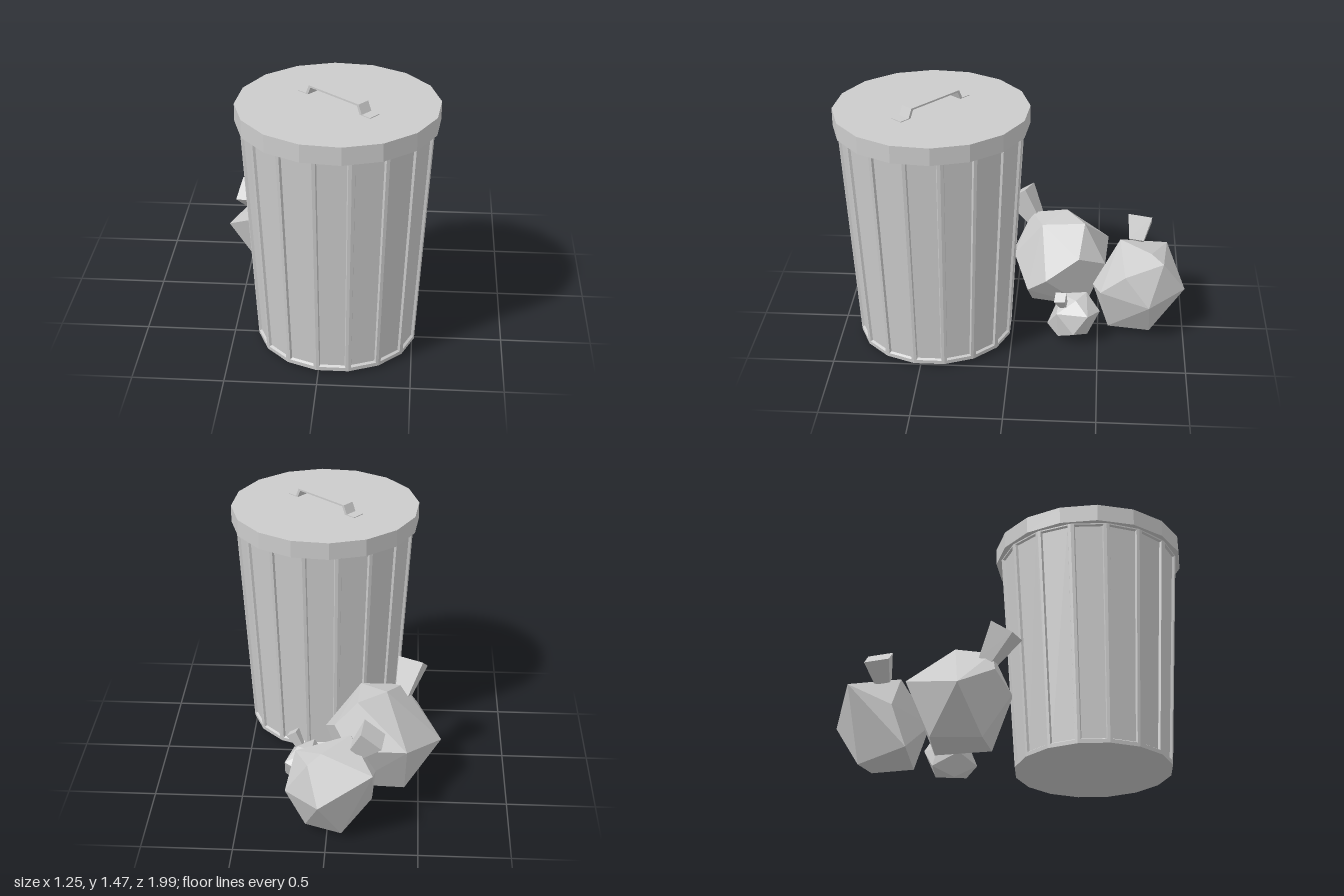
import * as THREE from 'three';
import { ConvexGeometry } from 'three/addons/geometries/ConvexGeometry.js';

const grey = new THREE.MeshStandardMaterial({ color: 0xcccccc, flatShading: true });
const SIDES = 16;
const STEP = (Math.PI * 2) / SIDES;

function mesh(name, geometry) {
  const m = new THREE.Mesh(geometry, grey);
  m.name = name;
  return m;
}

// Tapered wall: each side is a frame around a recessed panel
function bodyWall(rBottom, rTop, y0, y1) {
  const pos = [];
  const quad = (a, b, c, d) => [a, b, c, a, c, d].forEach((p) => pos.push(p.x, p.y, p.z));
  for (let i = 0; i < SIDES; i++) {
    const a0 = (i - 0.5) * STEP, a1 = a0 + STEP, mid = i * STEP;
    // point on side i: s across, y up, depth inward
    const at = (s, y, depth) => {
      const r = THREE.MathUtils.mapLinear(y, y0, y1, rBottom, rTop);
      const x = THREE.MathUtils.lerp(Math.sin(a0), Math.sin(a1), s) * r;
      const z = THREE.MathUtils.lerp(Math.cos(a0), Math.cos(a1), s) * r;
      return new THREE.Vector3(x - Math.sin(mid) * depth, y, z - Math.cos(mid) * depth);
    };
    const ring = (s, lo, hi, d) => [at(s, lo, d), at(1 - s, lo, d), at(1 - s, hi, d), at(s, hi, d)];
    const rings = [
      ring(0, y0, y1, 0),
      ring(0.09, y0 + 0.022, y1 - 0.012, 0),
      ring(0.12, y0 + 0.03, y1 - 0.018, 0.013),
    ];
    for (let k = 0; k < 2; k++) {
      for (let j = 0; j < 4; j++) {
        const n = (j + 1) % 4;
        quad(rings[k][j], rings[k][n], rings[k + 1][n], rings[k + 1][j]);
      }
    }
    quad(...rings[2]);
  }
  const g = new THREE.BufferGeometry();
  g.setAttribute('position', new THREE.Float32BufferAttribute(pos, 3));
  g.computeVertexNormals();
  return g;
}

// Bent strap with flat feet, extruded across its width
function handleGeometry() {
  const outer = [[0.26, 0], [0.26, 0.004], [0.203, 0.004], [0.18, 0.055]];
  const inner = [[0.168, 0.045], [0.188, 0]];
  const half = [...outer.slice().reverse()];
  const pts = [
    ...half,
    [0.26, 0], inner[1], inner[0],
    ...[inner[0], inner[1], [0.26, 0], ...outer.slice(1)].map(([x, y]) => [-x, y]),
  ];
  const shape = new THREE.Shape(pts.filter((p, i) => i === 0 || p[0] !== pts[i - 1][0] || p[1] !== pts[i - 1][1])
    .map(([x, y]) => new THREE.Vector2(x, y)));
  return new THREE.ExtrudeGeometry(shape, { depth: 0.073, bevelEnabled: false }).translate(0, 0, -0.0365);
}

// Faceted bag with a flared four-sided knot
function bag(name, points, from, to, r0, r1, twist) {
  const g = new THREE.Group();
  g.name = name;
  g.add(mesh(name + 'Sack', new ConvexGeometry(points.map((p) => new THREE.Vector3(...p)))));
  const a = new THREE.Vector3(...from), b = new THREE.Vector3(...to);
  const dir = b.clone().sub(a);
  const knot = mesh(name + 'Knot', new THREE.CylinderGeometry(r1, r0, dir.length(), 4).rotateY(twist));
  knot.position.copy(a).add(b).multiplyScalar(0.5);
  knot.quaternion.setFromUnitVectors(new THREE.Vector3(0, 1, 0), dir.normalize());
  g.add(knot);
  return g;
}

export function createModel() {
  const model = new THREE.Group();
  model.name = 'trashCanWithBags';

  // Can
  const can = new THREE.Group();
  can.name = 'trashCan';
  can.position.set(0.077, 0, 0.45);
  can.add(mesh('body', bodyWall(0.445, 0.522, 0.015, 1.315)));
  const base = mesh('base', new THREE.CircleGeometry(0.445, SIDES, STEP / 2).rotateX(Math.PI / 2));
  base.position.y = 0.015;
  can.add(base);

  // Lid and handle
  const lid = mesh('lid', new THREE.CylinderGeometry(0.547, 0.547, 0.1, SIDES, 1, false, 0.094));
  lid.position.y = 1.36;
  can.add(lid);
  const handle = mesh('handle', handleGeometry());
  handle.position.y = 1.41;
  handle.rotation.y = -0.7;
  can.add(handle);
  model.add(can);

  // Bags
  model.add(bag('largeBag', [
    [-0.625, 0.27, -0.26], [-0.43, 0.36, -0.555], [-0.105, 0.35, -0.535], [0.04, 0.3, -0.19],
    [-0.03, 0.2, -0.08], [-0.24, 0.33, 0.01], [-0.36, 0.3, 0.015], [-0.42, 0.04, -0.42],
    [-0.15, 0.59, -0.41], [-0.31, 0.6, -0.3], [-0.4, 0.53, -0.09], [-0.16, 0.57, -0.16],
    [-0.485, 0.4, -0.07], [-0.12, 0.05, -0.42], [-0.22, 0.03, -0.1], [-0.41, 0.04, -0.14],
    [-0.02, 0.42, -0.38],
  ], [-0.4, 0.47, -0.12], [-0.455, 0.64, -0.01], 0.055, 0.105, 0.5));

  model.add(bag('mediumBag', [
    [0.04, 0.28, -1], [0.23, 0.25, -0.79], [0.15, 0.3, -0.51], [0.015, 0.28, -0.465],
    [-0.26, 0.3, -0.65], [-0.25, 0.43, -0.9], [0.03, 0.5, -0.8], [-0.12, 0.51, -0.62],
    [0.18, 0.42, -0.65], [-0.08, 0.02, -0.85], [0.12, 0.04, -0.8], [0.1, 0.05, -0.56],
    [-0.24, 0.06, -0.57], [0.1, 0.47, -0.87],
  ], [-0.16, 0.48, -0.715], [-0.245, 0.59, -0.735], 0.06, 0.1, 0.7));

  model.add(bag('smallBag', [
    [0.155, 0.18, -0.51], [0.26, 0.2, -0.44], [0.265, 0.08, -0.36], [0.14, 0.08, -0.205],
    [0.01, 0.12, -0.3], [0.03, 0.15, -0.42], [0.11, 0.28, -0.43], [0.19, 0.265, -0.37],
    [0.1, 0.26, -0.28], [0.22, 0.19, -0.26], [0.09, 0, -0.33], [0.15, 0.02, -0.44],
    [0.2, 0.03, -0.27], [0.04, 0.05, -0.45],
  ], [0.18, 0.23, -0.3], [0.225, 0.305, -0.28], 0.028, 0.045, 0.6));

  return model;
}
